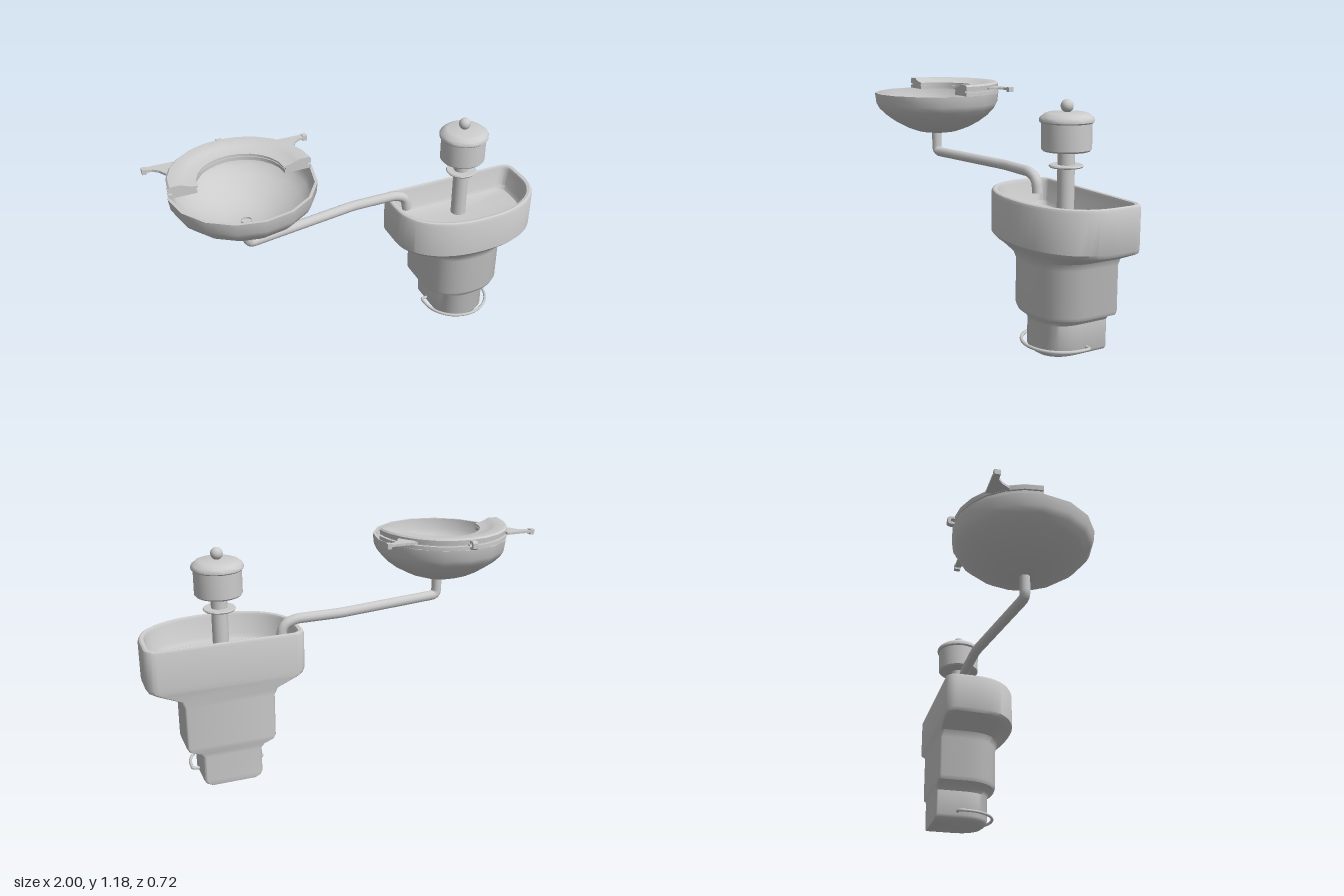
import * as THREE from 'three';
import { toCreasedNormals } from 'three/addons/utils/BufferGeometryUtils.js';

const material = new THREE.MeshStandardMaterial({ color: 0xcccccc });
const thinMaterial = new THREE.MeshStandardMaterial({ color: 0xcccccc, side: THREE.DoubleSide });
const V = (x, y, z) => new THREE.Vector3(x, y, z);

function add(parent, name, geometry, x = 0, y = 0, z = 0, mat = material) {
  const mesh = new THREE.Mesh(geometry, mat);
  mesh.name = name;
  mesh.position.set(x, y, z);
  parent.add(mesh);
  return mesh;
}

function lathe(points, segments, start = 0, length = Math.PI * 2, crease = 0.6) {
  const profile = points.map(([r, y]) => new THREE.Vector2(r, y));
  return toCreasedNormals(new THREE.LatheGeometry(profile, segments, start, length), crease);
}

// D-shaped outline: flat back with rounded corners, straight sides, bowed front
function dOutline(w, front, back, r) {
  const side = -0.02, half = [];
  for (let i = 0; i <= 4; i++) {
    const a = (i / 4) * Math.PI / 2;
    half.push([w - r + r * Math.sin(a), back + r - r * Math.cos(a)]);
  }
  for (let i = 0; i <= 12; i++) {
    const a = (i / 12) * Math.PI / 2, e = 2 / 2.25;
    half.push([w * Math.pow(Math.max(0, Math.cos(a)), e), side + (front - side) * Math.pow(Math.sin(a), e)]);
  }
  return [...half, ...half.slice(0, -1).reverse().map(([x, z]) => [-x, z])];
}

// Joins a stack of outlines [y, halfWidth, front, back, cornerRadius], closed at both ends
function loft(levels) {
  const rings = levels.map(([y, w, f, b, r]) => dOutline(w, f, b, r).map(([x, z]) => V(x, y, z)));
  const pos = [], n = rings[0].length;
  const tri = (...pts) => pts.forEach(p => pos.push(p.x, p.y, p.z));
  for (let i = 0; i < rings.length - 1; i++) {
    for (let j = 0; j < n; j++) {
      const k = (j + 1) % n;
      const a = rings[i][j], b = rings[i][k], c = rings[i + 1][j], d = rings[i + 1][k];
      tri(a, c, b);
      tri(b, c, d);
    }
  }
  const last = rings.length - 1;
  const low = V(0, levels[0][0], -0.02), high = V(0, levels[last][0], -0.02);
  for (let j = 0; j < n; j++) {
    const k = (j + 1) % n;
    tri(low, rings[0][j], rings[0][k]);
    tri(high, rings[last][k], rings[last][j]);
  }
  const g = new THREE.BufferGeometry();
  g.setAttribute('position', new THREE.Float32BufferAttribute(pos, 3));
  return toCreasedNormals(g, 0.6);
}

// Straight pipe runs with rounded bends
function pipePath(points, bend) {
  const path = new THREE.CurvePath();
  let from = points[0];
  for (let i = 1; i < points.length - 1; i++) {
    const p = points[i];
    const a = p.clone().add(points[i - 1].clone().sub(p).setLength(bend));
    const b = p.clone().add(points[i + 1].clone().sub(p).setLength(bend));
    path.add(new THREE.LineCurve3(from, a));
    path.add(new THREE.QuadraticBezierCurve3(a, p, b));
    from = b;
  }
  path.add(new THREE.LineCurve3(from, points[points.length - 1]));
  return path;
}

function flatPart(outline, depth, holeRadius, hx, hy) {
  const shape = new THREE.Shape(outline.map(([x, y]) => new THREE.Vector2(x, y)));
  if (holeRadius) shape.holes.push(new THREE.Path().absarc(hx, hy, holeRadius, 0, Math.PI * 2, true));
  return new THREE.ExtrudeGeometry(shape, { depth, bevelEnabled: false, curveSegments: 10 });
}

// Half ring swept from a closed profile, with its two cut ends filled
function halfRing(parent, name, points) {
  const ring = new THREE.Group();
  ring.name = name;
  parent.add(ring);
  add(ring, name + 'Body', lathe([...points, points[0]], 12, Math.PI / 2, Math.PI), 0, 0, 0, thinMaterial);
  const end = new THREE.ShapeGeometry(new THREE.Shape(points.map(([r, y]) => new THREE.Vector2(r, y))));
  add(ring, name + 'EndLeft', end, 0, 0, 0, thinMaterial);
  add(ring, name + 'EndRight', end, 0, 0, 0, thinMaterial).rotation.y = Math.PI;
}

export function createModel() {
  const model = new THREE.Group();
  const cx = 0.605, B = -0.175;

  // Stepped pedestal opening into a tub
  add(model, 'pedestalTub', loft([
    [0, 0.115, 0.115, B, 0.01], [0.012, 0.14, 0.132, B, 0.012], [0.028, 0.15, 0.14, B, 0.015],
    [0.16, 0.15, 0.14, B, 0.015], [0.18, 0.165, 0.15, B, 0.015],
    [0.2, 0.215, 0.176, B, 0.015], [0.22, 0.226, 0.184, B, 0.015],
    [0.44, 0.226, 0.184, B, 0.015], [0.475, 0.245, 0.196, B, 0.02],
    [0.52, 0.355, 0.235, B, 0.03], [0.532, 0.383, 0.252, B, 0.045], [0.552, 0.395, 0.27, B, 0.055],
    [0.735, 0.395, 0.27, B, 0.055], [0.747, 0.39, 0.265, -0.171, 0.052],
    [0.751, 0.382, 0.257, -0.167, 0.05], [0.748, 0.368, 0.243, -0.157, 0.045],
    [0.735, 0.362, 0.238, -0.153, 0.045], [0.64, 0.352, 0.228, -0.146, 0.045],
    [0.62, 0.338, 0.215, -0.135, 0.045], [0.615, 0.315, 0.195, -0.12, 0.04]
  ]), cx);

  // Open wire hoop around the foot, its ends turned into the base
  const hoop = [V(0.145, 0, -0.055), V(0.18, 0, -0.052)];
  for (let i = 0; i <= 16; i++) {
    const a = (i / 16) * Math.PI;
    hoop.push(V(0.183 * Math.cos(a), 0, -0.012 + 0.183 * Math.sin(a)));
  }
  hoop.push(V(-0.18, 0, -0.052), V(-0.145, 0, -0.055));
  add(model, 'footHoop', new THREE.TubeGeometry(new THREE.CatmullRomCurve3(hoop), 60, 0.008, 8), cx, 0.045, 0);

  // Central column with collar, canister, lid and knob
  const column = new THREE.Group();
  column.name = 'column';
  column.position.set(cx, 0, -0.03);
  model.add(column);
  add(column, 'post', new THREE.CylinderGeometry(0.04, 0.04, 0.36, 20), 0, 0.78, 0);
  add(column, 'collar', lathe([[0.03, 0.868], [0.076, 0.868], [0.08, 0.874], [0.076, 0.88], [0.03, 0.88]], 24));
  add(column, 'canister', lathe([[0, 0.944], [0.108, 0.944], [0.116, 0.952], [0.116, 1.08], [0, 1.08]], 28));
  add(column, 'lid', lathe([[0, 1.072], [0.12, 1.072], [0.126, 1.078], [0.126, 1.09], [0.121, 1.098],
    [0.112, 1.104], [0.104, 1.112], [0.09, 1.117], [0, 1.119]], 28));
  add(column, 'knob', new THREE.SphereGeometry(0.03, 16, 12), 0, 1.147, 0);

  // Bent pipe from the tub to the underside of the bowl
  const pipe = pipePath([V(-0.59, 0.92, 0.022), V(-0.59, 0.786, 0.022), V(0, 0.786, -0.07),
    V(0.24, 0.786, -0.07), V(0.3, 0.76, -0.07), V(0.312, 0.69, -0.07)], 0.032);
  add(model, 'armPipe', new THREE.TubeGeometry(pipe, 110, 0.026, 12), 0, 0, 0, thinMaterial);

  // Shallow bowl with a thin wall
  const head = new THREE.Group();
  head.name = 'bowlHead';
  head.position.set(-0.592, 0, 0.014);
  model.add(head);
  add(head, 'bowl', lathe([
    [0, 0.896], [0.06, 0.897], [0.11, 0.905], [0.18, 0.93], [0.24, 0.963], [0.29, 1.0], [0.325, 1.035],
    [0.341, 1.065], [0.348, 1.122], [0.334, 1.122], [0.326, 1.068], [0.31, 1.04], [0.275, 1.005],
    [0.225, 0.972], [0.165, 0.942], [0.1, 0.919], [0, 0.91]
  ], 16, 0, Math.PI * 2, 0.75));

  // Half seat: lower plate, recessed spacer and sloped upper pad
  halfRing(head, 'seatPlate', [[0.21, 1.122], [0.342, 1.122], [0.342, 1.14], [0.21, 1.14]]);
  halfRing(head, 'seatSpacer', [[0.215, 1.14], [0.325, 1.14], [0.325, 1.149], [0.215, 1.149]]);
  halfRing(head, 'seatPad', [[0.205, 1.149], [0.34, 1.149], [0.342, 1.172], [0.334, 1.18], [0.282, 1.18],
    [0.265, 1.172], [0.235, 1.162], [0.205, 1.158]]);

  // Tapered side handles with small end stops
  const handle = flatPart([[0.25, 0.25], [0.408, 0.25], [0.408, 0.222], [0.36, 0.216], [0.335, 0.195],
    [0.312, 0.155], [0.28, 0.14]], 0.012);
  handle.rotateX(-Math.PI / 2);
  for (const s of [1, -1]) {
    const g = new THREE.Group();
    g.name = s > 0 ? 'handleLeft' : 'handleRight';
    head.add(g);
    const blade = add(g, 'handleBlade', handle, 0, s > 0 ? 1.15 : 1.162, 0);
    if (s < 0) blade.rotation.z = Math.PI;
    add(g, 'handleStop', new THREE.BoxGeometry(0.022, 0.026, 0.03), s * 0.397, 1.153, -0.236);
  }

  // Rear lug with a round eye
  const lug = flatPart([[0.31, 1.127], [0.364, 1.127], [0.374, 1.135], [0.374, 1.161], [0.364, 1.169],
    [0.31, 1.169]], 0.026, 0.011, 0.348, 1.148);
  lug.rotateY(Math.PI / 2);
  add(head, 'rearLug', lug, -0.013, 0, 0);
  return model;
}
